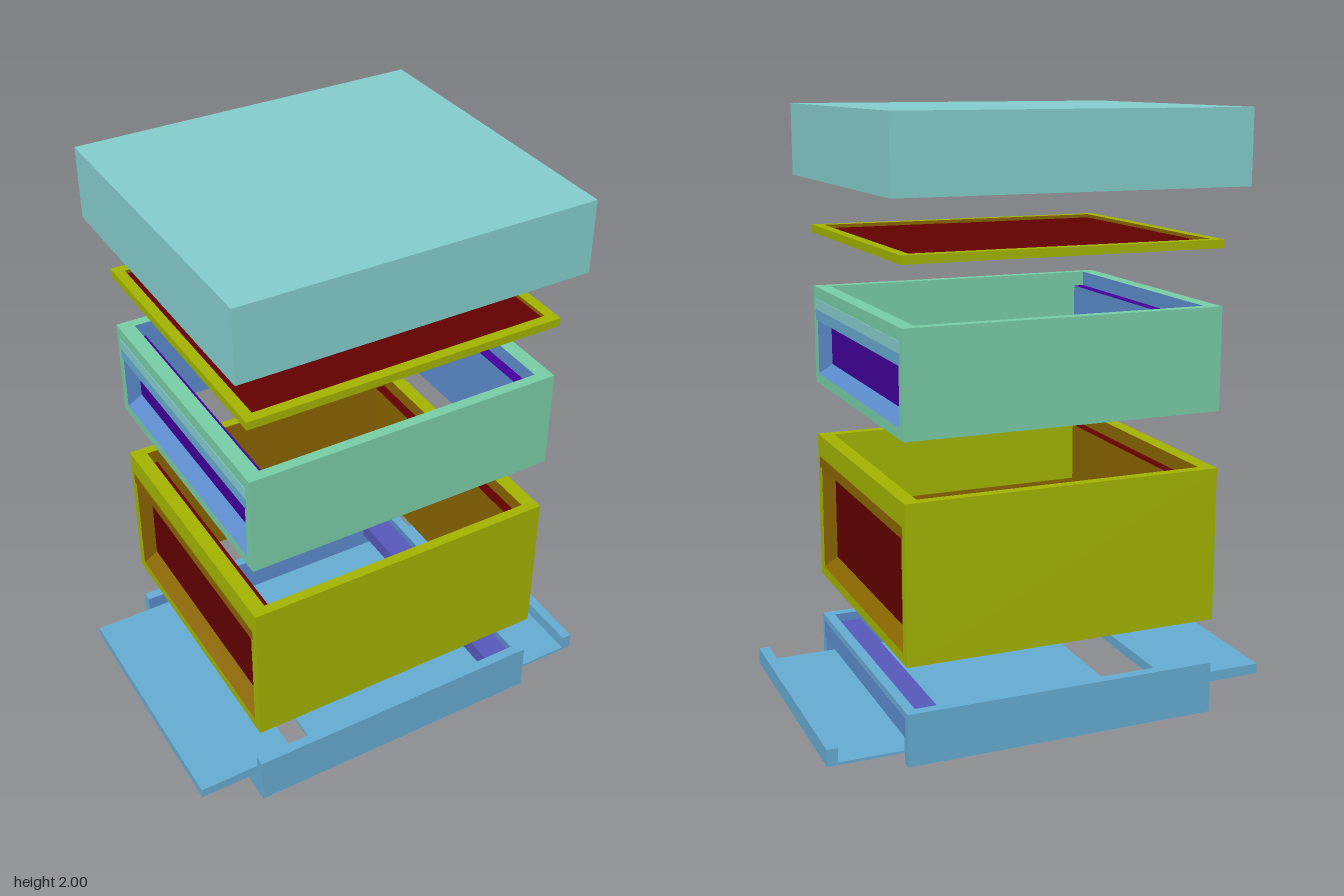
import * as THREE from 'three';

const paint = (name, hex) => new THREE.MeshStandardMaterial({ name, color: hex });

// Body footprint shared by all stacked boxes
const X0 = -0.56, X1 = 0.51, Z0 = -0.465, Z1 = 0.485, T = 0.035;
const XM = (X0 + X1) / 2;
const INNER_Z = [Z0 + T, Z1 - T];

// Box from min/max bounds; faces = { px, nx, py, ny, pz, nz } overrides the base colour
function block(name, [x0, x1], [y0, y1], [z0, z1], base, faces = {}) {
  const mats = ['px', 'nx', 'py', 'ny', 'pz', 'nz'].map((k) => faces[k] || base);
  const mesh = new THREE.Mesh(
    new THREE.BoxGeometry(x1 - x0, y1 - y0, z1 - z0),
    Object.keys(faces).length ? mats : base
  );
  mesh.position.set((x0 + x1) / 2, (y0 + y1) / 2, (z0 + z1) / 2);
  mesh.name = name;
  return mesh;
}

function group(name, ...parts) {
  const g = new THREE.Group();
  g.name = name;
  g.add(...parts);
  return g;
}

// Two full-length side walls, with the inner faces in their own colours
function sideWalls(y, outer, frontInner, backInner) {
  return [
    block('frontWall', [X0, X1], y, [Z1 - T, Z1], outer, { nz: frontInner }),
    block('backWall', [X0, X1], y, [Z0, Z0 + T], outer, { pz: backInner }),
  ];
}

// Recessed end: set-back panel, square top rail and bevelled bottom rail
function endWall(y0, y1, c) {
  const d = 0.05, rail = y1 - 0.115;
  const end = group('endWall',
    block('endPanel', [X1 - d - T, X1 - d], [y0, y1 - 0.05], INNER_Z, c.inner, { px: c.deep, py: c.deep, ny: c.outer }),
    block('topRail', [X1 - d, X1], [rail, y1], INNER_Z, c.outer, { ny: c.inner, nx: c.inner }),
    block('bottomRail', [X1 - d, X1], [y0, y0 + 0.035], INNER_Z, c.outer)
  );
  // painted bands along the lower edge of the top rail
  c.bands.forEach((mat, i) => {
    const y = rail + i * 0.037;
    end.add(block('railBand', [X1, X1 + 0.002], [y, y + 0.037], [Z0 + 0.025, Z1 - 0.025], mat));
  });
  // coloured cheeks at both ends of the recess
  const cheekY = [y0 + 0.04, rail];
  end.add(
    block('recessCheek', [X1 - d, X1 - 0.002], cheekY, [INNER_Z[0], INNER_Z[0] + 0.002], c.inner),
    block('recessCheek', [X1 - d, X1 - 0.002], cheekY, [INNER_Z[1] - 0.002, INNER_Z[1]], c.inner)
  );
  // sloping sill
  const s = new THREE.Shape();
  s.moveTo(0, 0);
  s.lineTo(d, 0);
  s.lineTo(0, 0.03);
  s.closePath();
  const sill = new THREE.Mesh(
    new THREE.ExtrudeGeometry(s, { depth: INNER_Z[1] - INNER_Z[0], bevelEnabled: false }), c.inner);
  sill.position.set(X1 - d, y0 + 0.035, INNER_Z[0]);
  sill.name = 'sill';
  end.add(sill);
  return end;
}

// Open box with a recessed wall at both ends
function hiveBox(name, y0, y1, c) {
  const right = endWall(y0, y1, c);
  const left = endWall(y0, y1, c);
  // turn about the box centre to make the opposite end
  left.rotation.y = Math.PI;
  left.position.set(2 * XM, 0, Z0 + Z1);
  const zi = INNER_Z[1];
  return group(name,
    ...sideWalls([y0, y1], c.outer, c.outer, c.inner), right, left,
    block('frontLining', [X0 + 0.085, X1 - 0.085], [y0 + 0.002, (y0 + y1) / 2], [zi - 0.003, zi], c.inner));
}

export function createModel() {
  const teal = paint('paleTeal', 0x84cecd);
  const green = paint('seaGreen', 0x79cea7);
  const olive = paint('olive', 0xa3b400);
  const blue = paint('steelBlue', 0x66acd3);
  const shade = paint('innerBlue', 0x5c8ccd);
  const violet = paint('violetBlue', 0x5858bc);
  const purple = paint('deepPurple', 0x44009b);
  const red = paint('darkRed', 0x640000);
  const brown = paint('brown', 0x8a6500);

  // Lid: hollow cap, its inner walls darker towards the top
  const lx = [-0.61, 0.56], lz = [-0.53, 0.53], w = 0.03, ly = [1.76, 1.97];
  const ix = [lx[0] + w, lx[1] - w], iz = [lz[0] + w, lz[1] - w];
  const liningY = [1.89, 1.97], t = 0.003;
  const lid = group('lid',
    block('lidTop', lx, [1.97, 2], lz, teal, { ny: purple }),
    block('lidFront', lx, ly, [iz[1], lz[1]], teal, { nz: shade }),
    block('lidBack', lx, ly, [lz[0], iz[0]], teal, { pz: shade }),
    block('lidRight', [ix[1], lx[1]], ly, iz, teal, { nx: shade }),
    block('lidLeft', [lx[0], ix[0]], ly, iz, teal, { px: shade }),
    block('lidLining', ix, liningY, [iz[1] - t, iz[1]], violet),
    block('lidLining', ix, liningY, [iz[0], iz[0] + t], violet),
    block('lidLining', [ix[1] - t, ix[1]], liningY, iz, violet),
    block('lidLining', [ix[0], ix[0] + t], liningY, iz, violet)
  );

  // Inner cover: thin board with a raised rim
  const cy = [1.565, 1.592];
  const cover = group('innerCover',
    ...sideWalls(cy, olive, brown, brown),
    block('coverRimRight', [X1 - T, X1], cy, INNER_Z, olive, { nx: brown }),
    block('coverRimLeft', [X0, X0 + T], cy, INNER_Z, olive, { px: brown }),
    block('coverBoard', [X0 + T, X1 - T], [1.565, 1.58], INNER_Z, olive, { py: red })
  );

  const upper = hiveBox('upperBox', 1.04, 1.38, { outer: green, inner: shade, deep: purple, bands: [blue, teal] });
  const lower = hiveBox('lowerBox', 0.33, 0.85, { outer: olive, inner: brown, deep: red, bands: [brown] });

  // Base: side rails, end beam with ledge, landing board and pulled-out tray
  const bz = [-0.43, 0.445];
  const base = group('base',
    ...sideWalls([0, 0.175], blue, shade, shade),
    block('endBeam', [X1 - T, X1], [0.09, 0.175], INNER_Z, blue, { nx: shade }),
    block('beamBand', [X1, X1 + 0.002], [0.09, 0.155], [Z0 + 0.025, Z1 - 0.025], shade),
    block('beamLedge', [0.38, X1 - T], [0.09, 0.145], INNER_Z, violet),
    block('landingBoard', [-0.765, -0.42], [0.09, 0.125], bz, blue),
    block('landingBeam', [X0, X0 + T], [0, 0.09], INNER_Z, blue, { px: shade }),
    block('landingBeamBand', [X0 + T, X0 + T + 0.002], [0.036, 0.085], [Z0 + 0.06, Z1 - 0.06], purple),
    block('tray', [-0.31, 0.76], [0.033, 0.042], bz, blue),
    block('trayLip', [0.725, 0.76], [0.042, 0.09], bz, blue)
  );

  return group('beehive', lid, cover, upper, lower, base);
}
